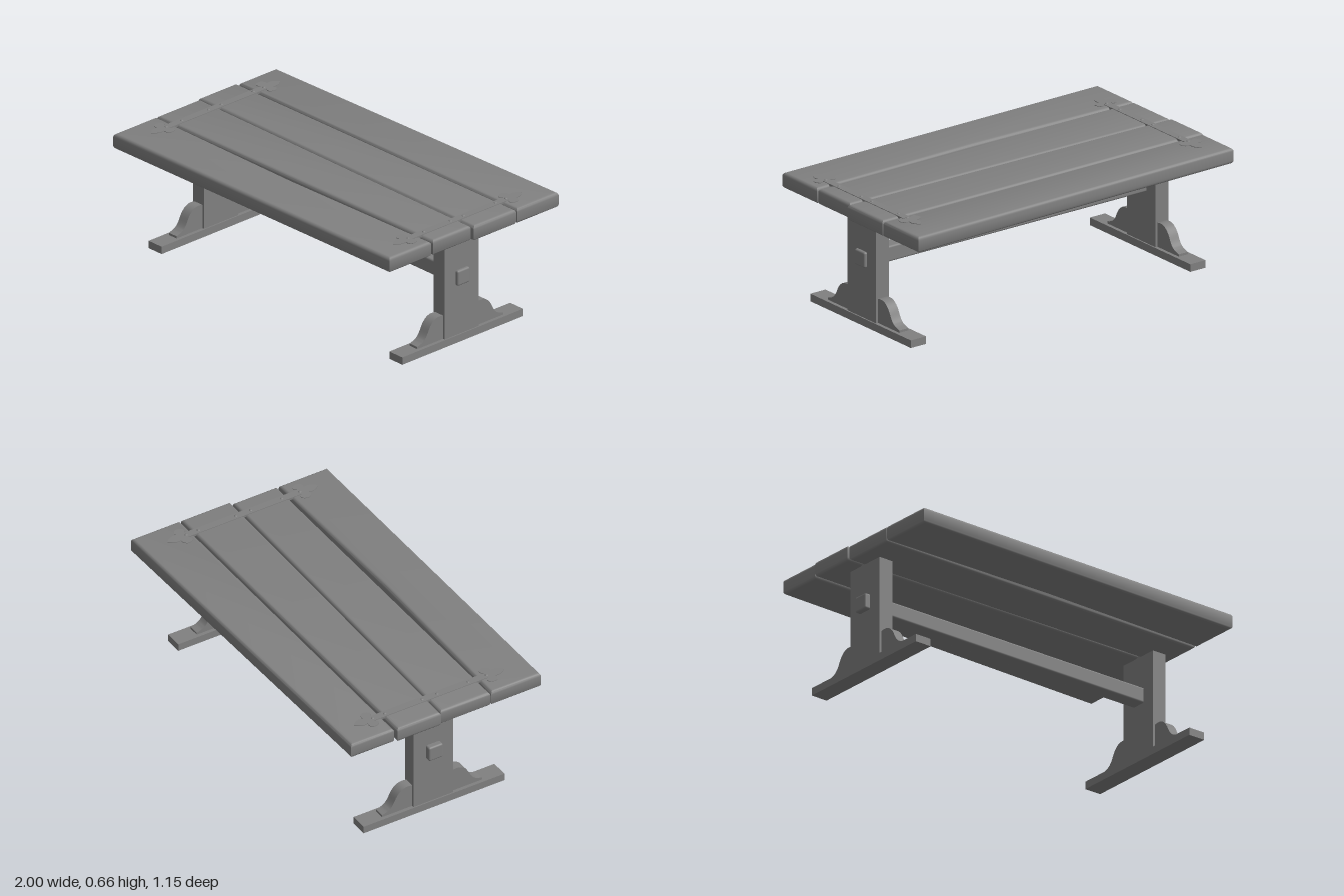
import * as THREE from 'three';
import { toCreasedNormals } from 'three/addons/utils/BufferGeometryUtils.js';
import { RoundedBoxGeometry } from 'three/addons/geometries/RoundedBoxGeometry.js';

const material = new THREE.MeshStandardMaterial({ color: 0x808080 });

function add(parent, name, geometry, x = 0, y = 0, z = 0) {
  const mesh = new THREE.Mesh(geometry, material);
  mesh.name = name;
  mesh.position.set(x, y, z);
  parent.add(mesh);
  return mesh;
}

// Slab with rounded edges from an outline of [x, z] corners
function plankGeometry(corners) {
  const r = 0.018, height = 0.084;
  const mid = corners.reduce((sum, c) => sum + c[1], 0) / corners.length;
  const outline = corners.map(([x, z]) =>
    new THREE.Vector2(x - Math.sign(x) * r, -(z - Math.sign(z - mid) * r)));
  const geometry = new THREE.ExtrudeGeometry(new THREE.Shape(outline), {
    depth: height - 2 * r, bevelSize: r, bevelThickness: r, bevelSegments: 4,
  });
  geometry.rotateX(-Math.PI / 2).translate(0, r, 0);
  return toCreasedNormals(geometry, 0.6);
}

// Curved foot bracket: profile runs outward along +z, thickness along x
function bracketGeometry(width) {
  const s = new THREE.Shape();
  s.moveTo(-0.01, 0);
  s.lineTo(0.175, 0);
  s.lineTo(0.175, 0.012);
  s.bezierCurveTo(0.135, 0.022, 0.122, 0.03, 0.104, 0.066);
  s.bezierCurveTo(0.086, 0.108, 0.06, 0.13, 0.028, 0.13);
  s.quadraticCurveTo(0.01, 0.13, -0.01, 0.124);
  s.closePath();
  const geometry = new THREE.ExtrudeGeometry(s, { depth: width, bevelEnabled: false, curveSegments: 8 });
  geometry.translate(0, 0, -width / 2).rotateY(-Math.PI / 2);
  return toCreasedNormals(geometry, 0.6);
}

// Flat iron strap along z with a three-lobed leaf at each end
function strapGeometry() {
  const s = new THREE.Shape();
  const w = 0.02;
  s.moveTo(w, -0.33);
  s.lineTo(w, 0.33);
  for (const k of [1, -1]) {
    s.lineTo(k * w, k * 0.33);
    s.bezierCurveTo(k * 0.035, k * 0.3, k * 0.065, k * 0.32, k * 0.06, k * 0.355);
    s.quadraticCurveTo(k * 0.045, k * 0.38, k * 0.024, k * 0.37);
    s.quadraticCurveTo(k * 0.035, k * 0.405, 0, k * 0.435);
    s.quadraticCurveTo(-k * 0.035, k * 0.405, -k * 0.024, k * 0.37);
    s.quadraticCurveTo(-k * 0.045, k * 0.38, -k * 0.06, k * 0.355);
    s.bezierCurveTo(-k * 0.065, k * 0.32, -k * 0.035, k * 0.3, -k * w, k * 0.33);
  }
  const geometry = new THREE.ExtrudeGeometry(s, { depth: 0.012, bevelEnabled: false, curveSegments: 6 });
  return toCreasedNormals(geometry.rotateX(-Math.PI / 2), 0.6);
}

export function createModel() {
  const table = new THREE.Group();
  table.name = 'trestleTable';

  // Four uneven tabletop planks
  const tabletop = new THREE.Group();
  tabletop.name = 'tabletop';
  table.add(tabletop);
  const planks = [
    [[-0.99, -0.28], [1, -0.29], [1, -0.573], [-0.99, -0.53]],
    [[-1, -0.015], [1, 0.002], [1, -0.283], [-1, -0.268]],
    [[-0.99, 0.277], [0.982, 0.262], [0.982, 0.006], [-0.99, -0.012]],
    [[-0.99, 0.572], [0.982, 0.554], [0.982, 0.273], [0, 0.293], [-0.99, 0.282]],
  ];
  planks.forEach((corners, i) => add(tabletop, `plank${i + 1}`, plankGeometry(corners), 0, 0.567, 0));

  // Iron straps and rivets across the planks
  const strap = strapGeometry();
  const rivet = new THREE.SphereGeometry(0.009, 12, 5, 0, Math.PI * 2, 0, Math.PI / 2).scale(1, 0.6, 1);
  for (const x of [-0.863, 0.88]) {
    const ironwork = new THREE.Group();
    ironwork.name = x < 0 ? 'rightIronwork' : 'leftIronwork';
    ironwork.position.set(x, 0.642, 0);
    table.add(ironwork);
    add(ironwork, 'strap', strap);
    for (const z of [-0.327, -0.256, -0.04, 0.047, 0.227, 0.333]) add(ironwork, 'rivet', rivet, 0, 0.011, z);
  }

  // Trestles: post, foot and a pair of brackets
  const bracket = bracketGeometry(0.056);
  for (const side of [-1, 1]) {
    const trestle = new THREE.Group();
    trestle.name = side < 0 ? 'rightTrestle' : 'leftTrestle';
    trestle.position.set(side * 0.867 + 0.005, 0, 0.001);
    table.add(trestle);
    add(trestle, 'post', new THREE.BoxGeometry(0.08, 0.545, 0.23), 0, 0.3075, 0);
    add(trestle, 'foot', new THREE.BoxGeometry(0.094, 0.04, 0.815), 0, 0.02, 0);
    add(trestle, 'frontBracket', bracket, 0, 0.04, 0.114);
    add(trestle, 'backBracket', bracket, 0, 0.04, -0.114).rotation.y = Math.PI;
  }

  // Stretcher passing through both posts
  add(table, 'stretcher', new RoundedBoxGeometry(1.86, 0.083, 0.083, 3, 0.01), -0.002, 0.351, 0);

  return table;
}
